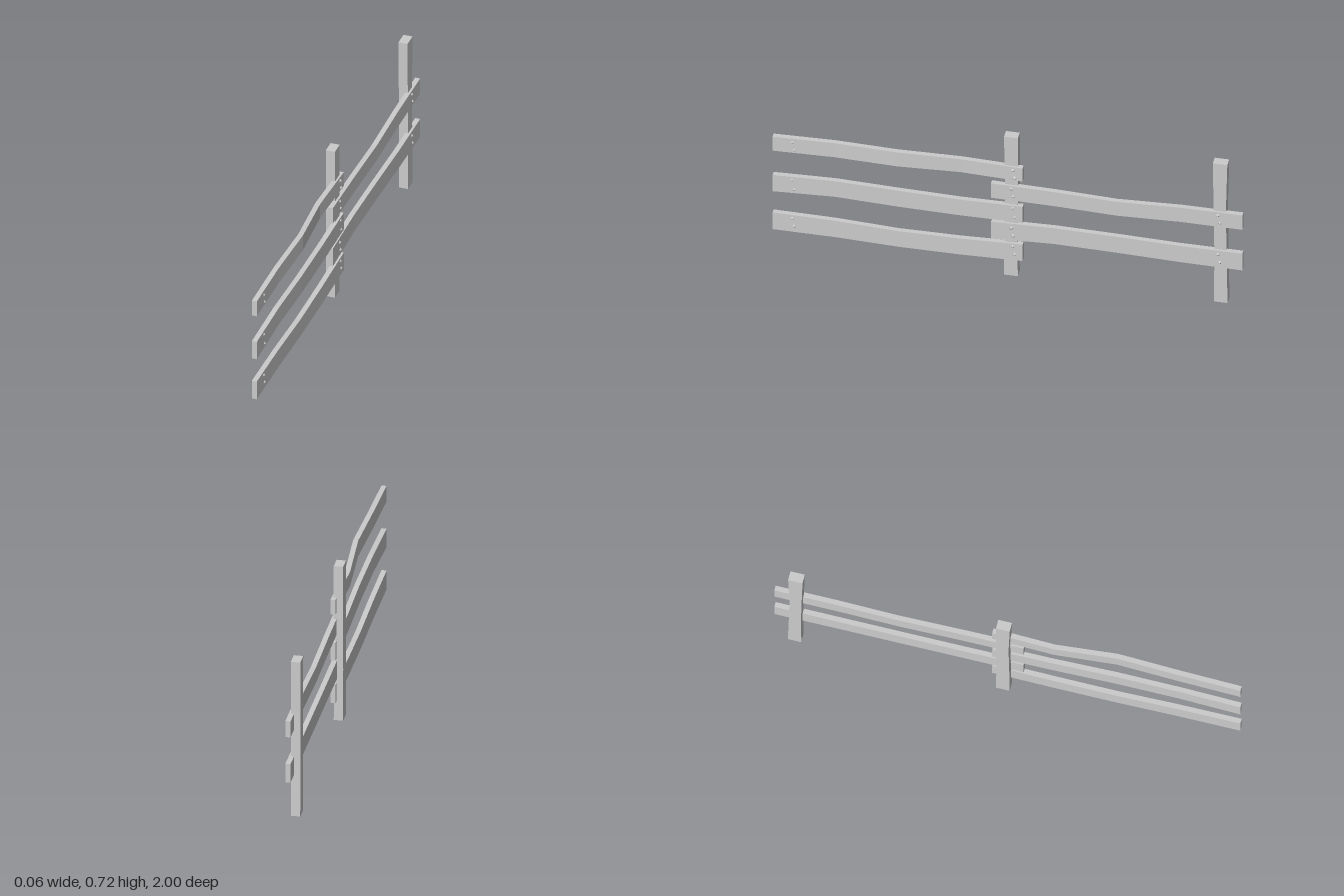
import * as THREE from 'three';

const material = new THREE.MeshStandardMaterial({ color: 0xcccccc, flatShading: true, side: THREE.DoubleSide });

// A box whose rows along one axis are shaped by rule(t, vector), t from 0 to 1.
function bentBox(name, size, segments, axis, rule) {
  const geometry = new THREE.BoxGeometry(...size, ...segments);
  const position = geometry.attributes.position;
  const length = size[axis];
  const v = new THREE.Vector3();
  for (let i = 0; i < position.count; i++) {
    v.fromBufferAttribute(position, i);
    rule(v.getComponent(axis) / length + 0.5, v);
    position.setXYZ(i, v.x, v.y, v.z);
  }
  geometry.computeVertexNormals();
  const mesh = new THREE.Mesh(geometry, material);
  mesh.name = name;
  return mesh;
}

// Upright post: rows give the two z edges from the ground to the top.
function post(name, rows) {
  const height = 0.72;
  const mesh = bentBox(name, [0.04, height, 1], [1, rows.length - 1, 1], 1, (t, v) => {
    const [back, front] = rows[Math.round(t * (rows.length - 1))];
    v.z = v.z > 0 ? front : back;
  });
  // The post is hollow underneath: drop the bottom face.
  const index = Array.from(mesh.geometry.index.array);
  const bottom = mesh.geometry.groups[3];
  index.splice(bottom.start, bottom.count);
  mesh.geometry.setIndex(index);
  mesh.geometry.clearGroups();
  mesh.position.set(-0.012, height / 2, 0);
  return mesh;
}

// Rail: five stations from back to front, each [bottom, top, sideways shift].
function rail(name, zBack, zFront, stations) {
  const length = zFront - zBack;
  const mesh = bentBox(name, [0.022, 1, length], [1, 1, stations.length - 1], 2, (t, v) => {
    const [bottom, top, shift] = stations[Math.round(t * (stations.length - 1))];
    v.y = v.y > 0 ? top : bottom;
    v.x += shift;
  });
  mesh.position.set(0.007, 0, (zBack + zFront) / 2);
  return mesh;
}

// Low six-sided nail head pointing to +x.
const nailGeometry = new THREE.CylinderGeometry(0.002, 0.009, 0.007, 6).rotateZ(-Math.PI / 2);
function nailPair(z, low, high) {
  const pair = new THREE.Group();
  pair.name = 'nailPair';
  for (const [y, dz] of [[high, 0.004], [low, -0.004]]) {
    const nail = new THREE.Mesh(nailGeometry, material);
    nail.name = 'nail';
    nail.position.set(0.0205, y, z + dz);
    pair.add(nail);
  }
  return pair;
}

export function createModel() {
  const fence = new THREE.Group();
  fence.name = 'fence';

  fence.add(
    post('middlePost', [[-0.042, 0.017], [-0.04, 0.015], [-0.043, 0.012], [-0.042, 0.017]]),
    post('backPost', [[-0.935, -0.877], [-0.931, -0.879], [-0.928, -0.876], [-0.934, -0.872]]),
  );

  // Three front rails and two back rails overlap on the middle post.
  const front = [-0.065, 1];
  const back = [-1, 0.07];
  const rails = [
    ['frontTopRail', front, [[0.505, 0.573, 0], [0.507, 0.574, -0.008], [0.51, 0.583, 0.012], [0.509, 0.582, 0.003], [0.5, 0.573, 0]], 0.517, 0.556],
    ['frontMiddleRail', front, [[0.29, 0.373, 0], [0.289, 0.371, 0.002], [0.295, 0.378, 0.005], [0.302, 0.383, 0.002], [0.288, 0.373, 0]], 0.311, 0.36],
    ['frontBottomRail', front, [[0.09, 0.176, 0], [0.083, 0.166, 0], [0.082, 0.163, 0], [0.09, 0.175, 0], [0.09, 0.177, 0]], 0.12, 0.16],
    ['backTopRail', back, [[0.4, 0.475, 0], [0.4, 0.474, 0], [0.39, 0.462, 0], [0.398, 0.471, 0], [0.4, 0.475, 0]], 0.42, 0.459],
    ['backBottomRail', back, [[0.188, 0.275, 0], [0.19, 0.274, 0], [0.195, 0.278, -0.002], [0.198, 0.28, -0.003], [0.188, 0.275, 0]], 0.215, 0.255],
  ];
  for (const [name, [z0, z1], stations, low, high] of rails) {
    fence.add(rail(name, z0, z1, stations));
    const nailZ = z1 === 1 ? [0.912, -0.026] : [-0.02, -0.9];
    for (const z of nailZ) fence.add(nailPair(z, low, high));
  }
  return fence;
}
